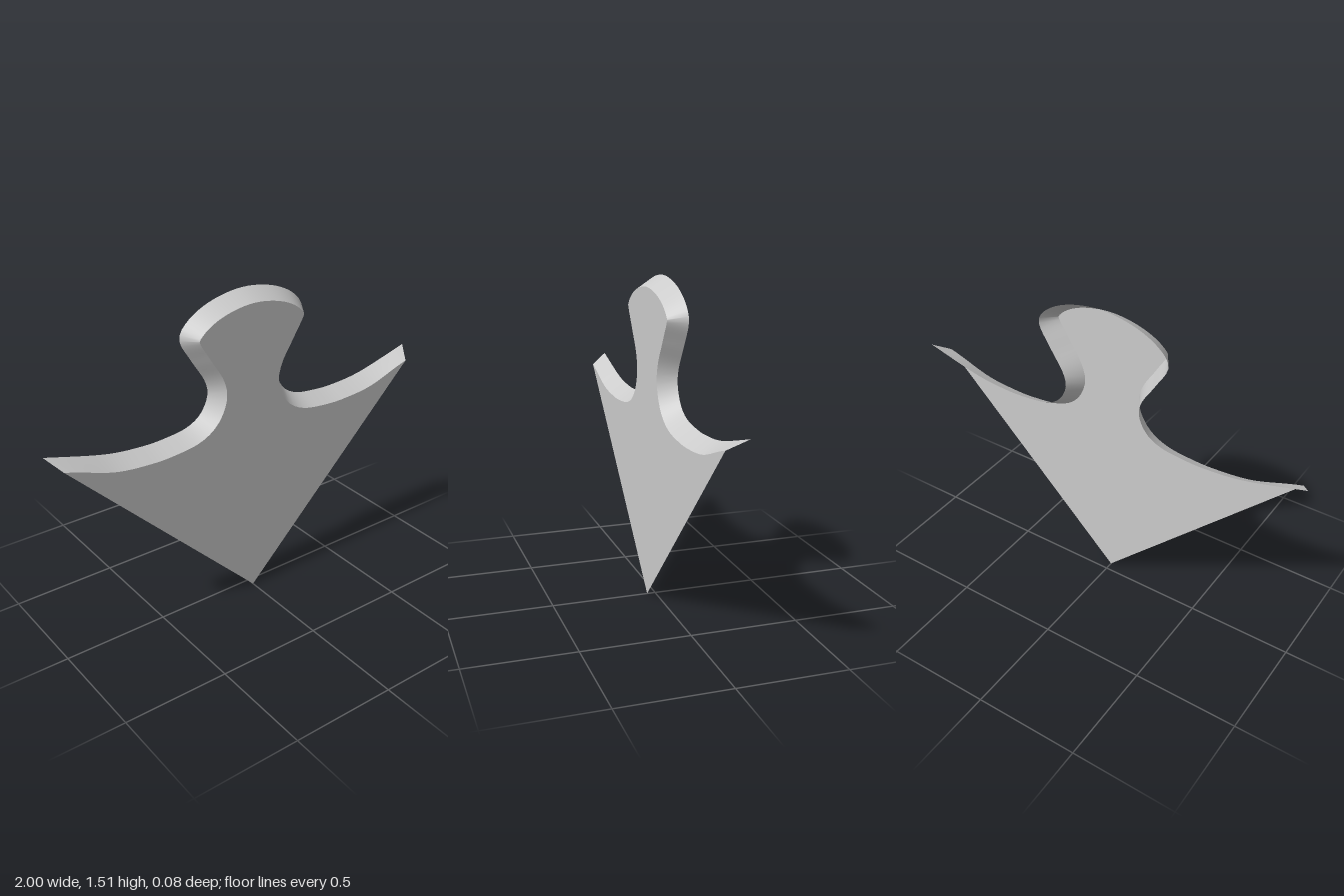
import * as THREE from 'three';

const DEPTH = 0.04; // half of the thickness
const BEVEL = 0.05; // how far the rim flares outward

// Right half of the rim's back edge, from the top of the knob to the wing tip
const HALF = [
  [0, 1.51], [0.16, 1.485], [0.28, 1.425], [0.332, 1.345], [0.272, 1.23], [0.208, 1.125],
  [0.195, 1.05], [0.235, 0.97], [0.31, 0.925], [0.42, 0.908], [0.54, 0.905], [0.72, 0.925], [1, 1],
];

export function createModel() {
  const group = new THREE.Group();
  const material = new THREE.MeshStandardMaterial({ color: 0xcccccc, side: THREE.DoubleSide });

  // Mirrored spline running from the left wing tip to the right one
  const right = HALF.map(([x, y]) => new THREE.Vector2(x, y));
  const left = right.slice(1).reverse().map((p) => new THREE.Vector2(-p.x, p.y));
  const curve = new THREE.SplineCurve([...left, ...right]);
  const steps = 120;
  const outer = [], inner = [];
  for (let i = 0; i <= steps; i++) {
    const p = curve.getPointAt(i / steps);
    const t = curve.getTangentAt(i / steps);
    // Inset along the normal, turning to the diagonal near the wing tips
    const inset = new THREE.Vector2(t.y, -t.x);
    const blend = THREE.MathUtils.smoothstep(Math.abs(p.x), 0.65, 1);
    inset.lerp(new THREE.Vector2(-Math.sign(p.x), -1), blend);
    outer.push(p);
    inner.push(p.clone().addScaledVector(inset, BEVEL));
  }

  // Flat plate ending in the lower point
  const outline = new THREE.Shape([new THREE.Vector2(0, 0), ...inner.slice().reverse()]);
  const plate = new THREE.Mesh(new THREE.ShapeGeometry(outline), material);
  plate.name = 'plate';
  plate.position.z = DEPTH;
  group.add(plate);

  // Flared rim between the plate's curved edge and the larger back edge
  const positions = [], indices = [];
  for (let i = 0; i <= steps; i++) {
    positions.push(inner[i].x, inner[i].y, DEPTH, outer[i].x, outer[i].y, -DEPTH);
    if (i < steps) {
      const a = 2 * i;
      indices.push(a, a + 2, a + 1, a + 1, a + 2, a + 3);
    }
  }
  const rimGeometry = new THREE.BufferGeometry();
  rimGeometry.setAttribute('position', new THREE.Float32BufferAttribute(positions, 3));
  rimGeometry.setIndex(indices);
  rimGeometry.computeVertexNormals();
  const rim = new THREE.Mesh(rimGeometry, material);
  rim.name = 'flaredRim';
  group.add(rim);

  return group;
}
